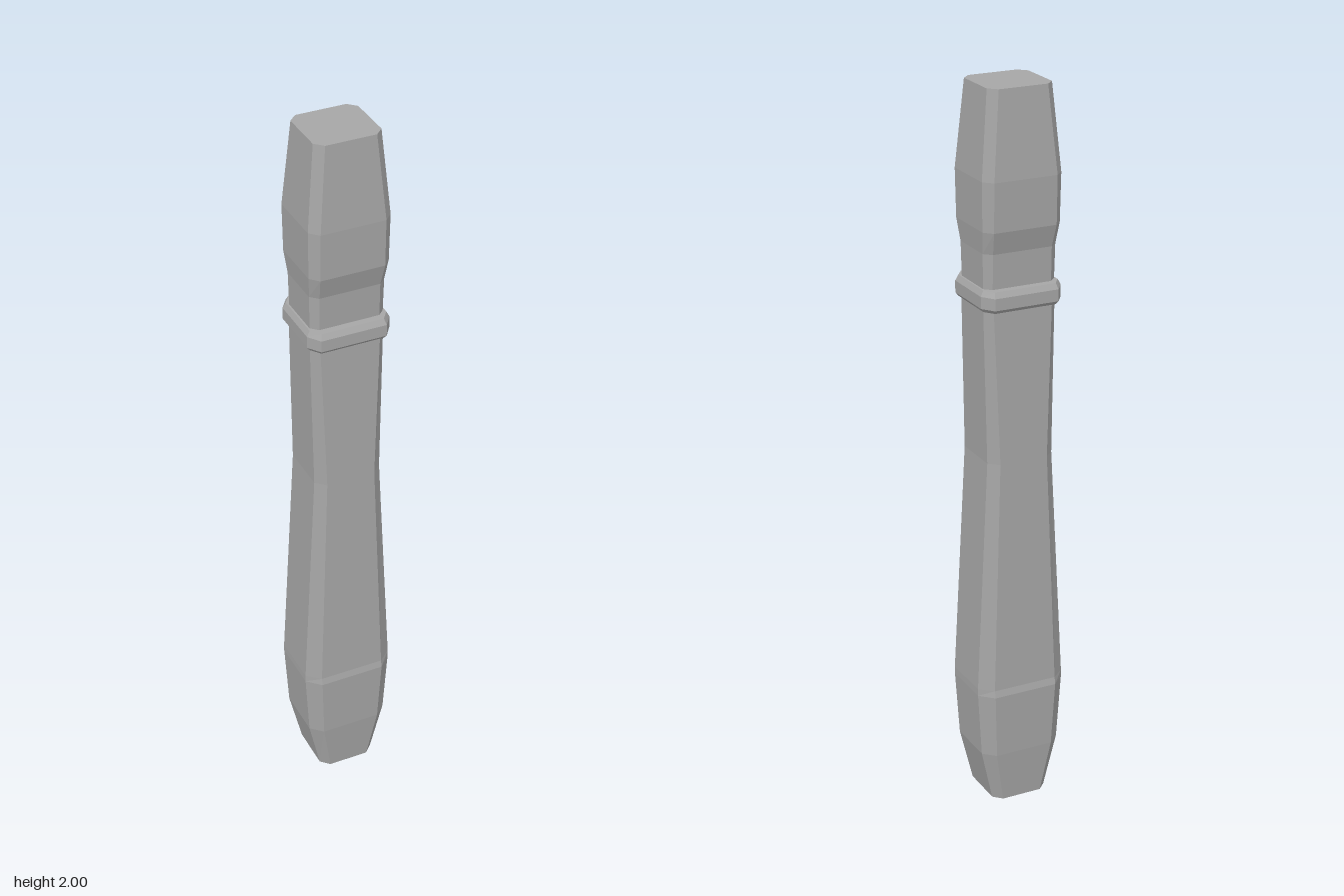
import * as THREE from 'three';

// Closed loft through chamfered rectangles: [y, halfX, halfZ, flatX, flatZ]
function loft(name, sections, material) {
  const rings = sections.map(([y, x, z, fx, fz]) => [
    [fx, z], [x, fz], [x, -fz], [fx, -z], [-fx, -z], [-x, -fz], [-x, fz], [-fx, z],
  ].map(([px, pz]) => [px, y, pz]));
  const pos = [];
  const tri = (a, b, c) => pos.push(...a, ...b, ...c);
  for (let i = 0; i < rings.length - 1; i++) {
    for (let j = 0; j < 8; j++) {
      const k = (j + 1) % 8;
      const a = rings[i][j], b = rings[i][k], c = rings[i + 1][k], d = rings[i + 1][j];
      tri(a, b, c);
      tri(a, c, d);
    }
  }
  // End caps
  const lo = rings[0], hi = rings[rings.length - 1];
  for (let j = 1; j < 7; j++) {
    tri(lo[0], lo[j + 1], lo[j]);
    tri(hi[0], hi[j], hi[j + 1]);
  }
  const geo = new THREE.BufferGeometry();
  geo.setAttribute('position', new THREE.Float32BufferAttribute(pos, 3));
  geo.computeVertexNormals();
  const mesh = new THREE.Mesh(geo, material);
  mesh.name = name;
  return mesh;
}

export function createModel() {
  const grey = new THREE.MeshStandardMaterial({ color: 0xa6a6a6 });
  grey.name = 'grey';
  grey.flatShading = true;

  const group = new THREE.Group();
  group.name = 'handle';

  // Long grip, with a small ledge on the front and back near the butt
  group.add(loft('grip', [
    [0, 0.08, 0.085, 0.057, 0.062],
    [0.15, 0.115, 0.1, 0.083, 0.07],
    [0.335, 0.127, 0.108, 0.091, 0.073],
    [0.355, 0.127, 0.104, 0.091, 0.073],
    [1.01, 0.094, 0.093, 0.068, 0.068],
    [1.435, 0.102, 0.086, 0.083, 0.064],
  ], grey));

  // Raised band with bevelled edges
  group.add(loft('collar', [
    [1.43, 0.106, 0.1, 0.086, 0.073],
    [1.44, 0.114, 0.109, 0.09, 0.075],
    [1.472, 0.114, 0.109, 0.09, 0.075],
    [1.487, 0.106, 0.1, 0.086, 0.073],
  ], grey));

  // Narrow neck swelling into the tapered head
  group.add(loft('head', [
    [1.48, 0.101, 0.08, 0.083, 0.062],
    [1.58, 0.103, 0.083, 0.083, 0.064],
    [1.64, 0.109, 0.099, 0.088, 0.076],
    [1.77, 0.111, 0.102, 0.088, 0.078],
    [2, 0.09, 0.086, 0.068, 0.064],
  ], grey));

  return group;
}
